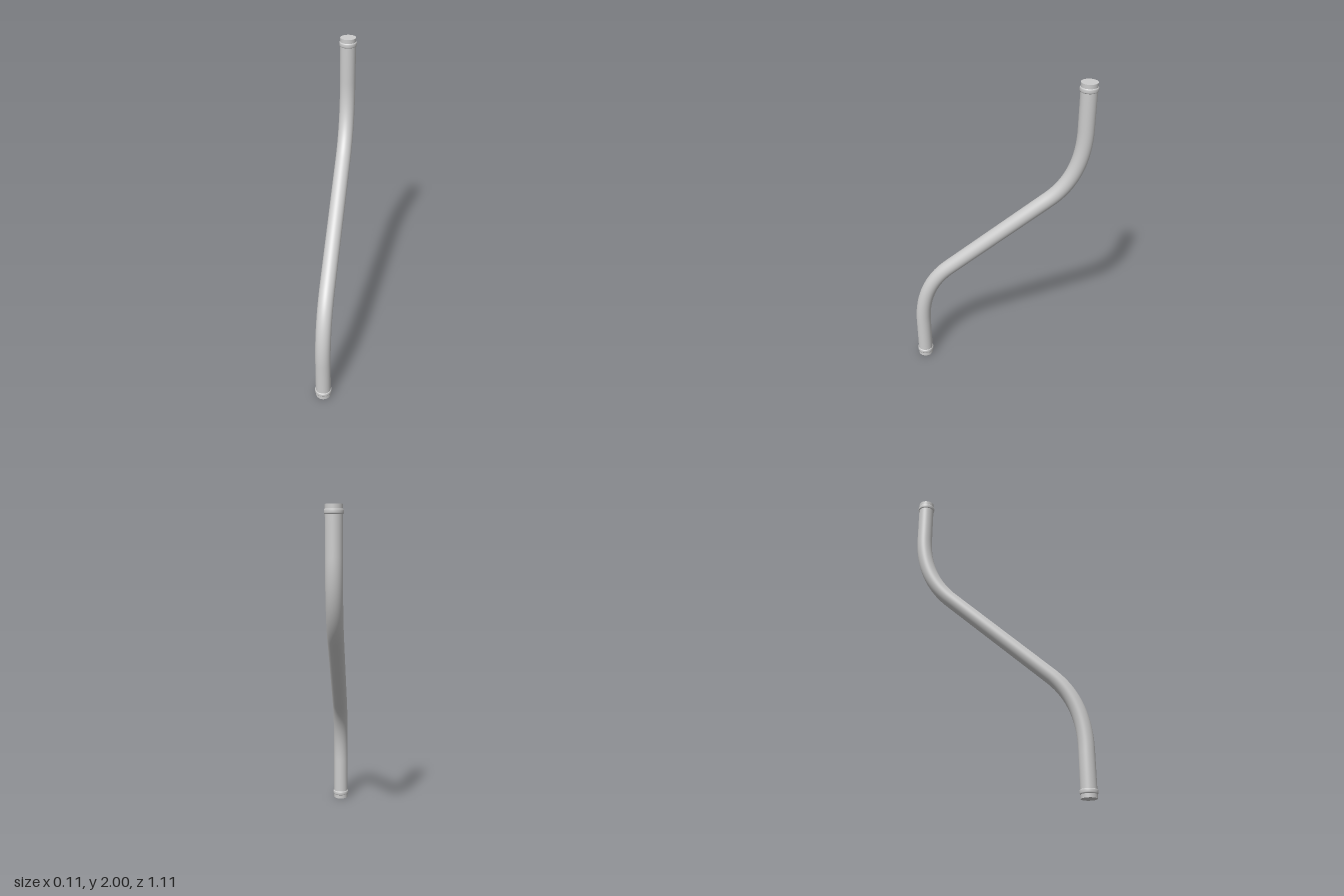
import * as THREE from 'three';

const R = 0.048;      // pipe radius
const END_Z = 0.5;    // offset of the two upright ends
const SIDES = 48;

export function createModel() {
  const group = new THREE.Group();
  const material = new THREE.MeshStandardMaterial({ color: 0xcccccc });
  const add = (geometry, name, y, z) => {
    const mesh = new THREE.Mesh(geometry, material);
    mesh.name = name;
    mesh.position.set(0, y, z);
    group.add(mesh);
    return mesh;
  };

  // Centre line: upright, bend, slanted run, bend, upright
  const p = (z, y) => new THREE.Vector3(0, y, z);
  const path = new THREE.CurvePath();
  path.add(new THREE.LineCurve3(p(END_Z, 0), p(END_Z, 0.28)));
  path.add(new THREE.QuadraticBezierCurve3(p(END_Z, 0.28), p(END_Z, 0.575), p(0.31, 0.737)));
  path.add(new THREE.LineCurve3(p(0.31, 0.737), p(-0.31, 1.263)));
  path.add(new THREE.QuadraticBezierCurve3(p(-0.31, 1.263), p(-END_Z, 1.425), p(-END_Z, 1.72)));
  path.add(new THREE.LineCurve3(p(-END_Z, 1.72), p(-END_Z, 2)));
  add(new THREE.TubeGeometry(path, 140, R, SIDES), 'pipe', 0, 0);

  // Raised bead around each end
  const bead = new THREE.LatheGeometry([
    [R - 0.002, -0.015], [R + 0.003, -0.012], [R + 0.005, -0.007],
    [R + 0.005, 0.007], [R + 0.003, 0.012], [R - 0.002, 0.015],
  ].map(([r, y]) => new THREE.Vector2(r, y)), SIDES);

  // Flat caps close the pipe
  const cap = new THREE.CircleGeometry(R, SIDES);
  for (const [side, y, dir] of [['lower', 0, 1], ['upper', 2, -1]]) {
    add(bead, side + 'Bead', y + dir * 0.038, dir * END_Z);
    add(cap, side + 'Cap', y, dir * END_Z).rotation.x = dir * Math.PI / 2;
  }
  return group;
}
